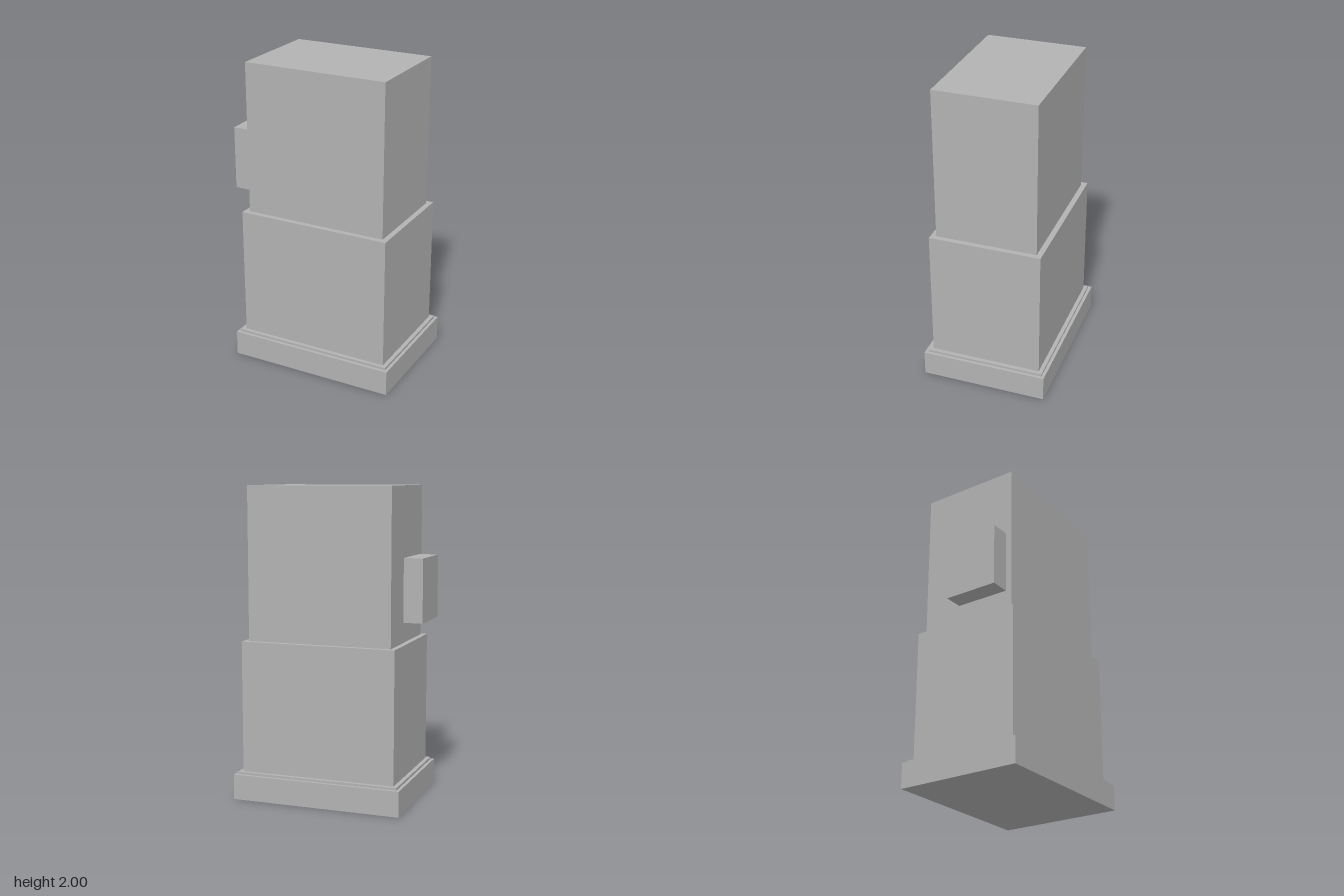
import * as THREE from 'three';

export function createModel() {
  const model = new THREE.Group();
  model.name = 'steppedTower';

  const grey = new THREE.MeshStandardMaterial({ color: 0xb2b2b2 });
  grey.name = 'light grey';

  // Box given by its extents along each axis
  function block(name, [x0, x1], [y0, y1], [z0, z1]) {
    const mesh = new THREE.Mesh(new THREE.BoxGeometry(x1 - x0, y1 - y0, z1 - z0), grey);
    mesh.position.set((x0 + x1) / 2, (y0 + y1) / 2, (z0 + z1) / 2);
    mesh.name = name;
    model.add(mesh);
  }

  // Stacked tiers, each narrower than the one below
  block('basePlinth', [-0.533, 0.572], [0, 0.163], [-0.409, 0.409]);
  block('baseStep', [-0.512, 0.552], [0.163, 0.178], [-0.388, 0.388]);
  block('lowerBody', [-0.485, 0.525], [0.178, 1.022], [-0.362, 0.362]);
  block('upperBody', [-0.45, 0.49], [1.022, 2], [-0.327, 0.327]);

  // Box mounted on the side of the upper body
  block('sideBox', [-0.574, -0.45], [1.15, 1.555], [-0.069, 0.285]);

  return model;
}
